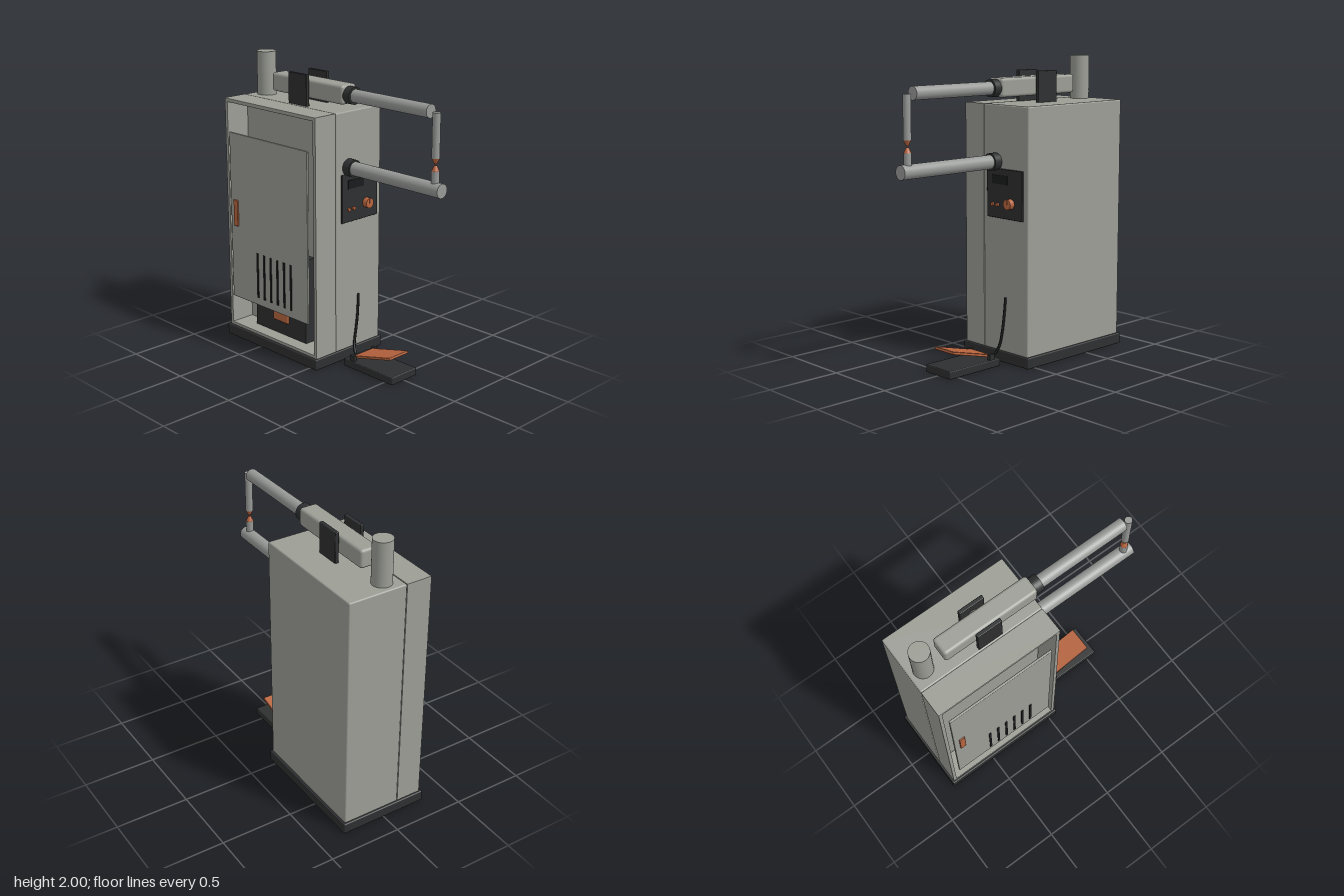
import * as THREE from 'three';
import { RoundedBoxGeometry } from 'three/addons/geometries/RoundedBoxGeometry.js';

const mat = (name, color) => {
  const m = new THREE.MeshStandardMaterial({ color });
  m.name = name;
  return m;
};

export function createModel() {
  const grey = mat('painted grey', 0x9c9e96);
  const steel = mat('steel', 0x989a98);
  const dark = mat('dark grey', 0x2e2f30);
  const black = mat('black', 0x1a1b1c);
  const copper = mat('copper', 0xb8653f);

  const model = new THREE.Group();
  model.name = 'spotWelder';

  const add = (name, geometry, material, x = 0, y = 0, z = 0, parent = model) => {
    const mesh = new THREE.Mesh(geometry, material);
    mesh.name = name;
    mesh.position.set(x, y, z);
    parent.add(mesh);
    return mesh;
  };
  // Box given by its limits on each axis; r rounds the edges
  const box = (name, material, [x0, x1], [y0, y1], [z0, z1], r = 0, parent = model) => {
    const size = [x1 - x0, y1 - y0, z1 - z0];
    const g = r ? new RoundedBoxGeometry(...size, 3, r) : new THREE.BoxGeometry(...size);
    return add(name, g, material, (x0 + x1) / 2, (y0 + y1) / 2, (z0 + z1) / 2, parent);
  };
  // Upright rod, optionally tapered
  const rodY = (name, material, rBottom, rTop, y0, y1, x, z) =>
    add(name, new THREE.CylinderGeometry(rTop, rBottom, y1 - y0, 32), material, x, (y0 + y1) / 2, z);
  // Rod running front to back
  const rodZ = (name, material, r, z0, z1, x, y) => {
    const g = new THREE.CylinderGeometry(r, r, z1 - z0, 32).rotateX(Math.PI / 2);
    return add(name, g, material, x, y, (z0 + z1) / 2);
  };

  // Cabinet: plinth, closed main body and an open side compartment
  box('plinth', dark, [-0.31, 0.31], [0, 0.075], [-0.85, 0.065], 0.008);
  box('mainBody', grey, [-0.115, 0.295], [0.07, 1.705], [-0.835, 0.055], 0.01);

  const rect = (path, x0, y0, x1, y1) =>
    path.moveTo(x0, y0).lineTo(x1, y0).lineTo(x1, y1).lineTo(x0, y1).closePath();
  const frame = rect(new THREE.Shape(), -0.83, 0.072, 0.05, 1.7);
  frame.holes.push(rect(new THREE.Path(), -0.812, 0.092, 0.032, 1.682));
  const shell = new THREE.ExtrudeGeometry(frame, {
    depth: 0.17, bevelEnabled: true, bevelSize: 0.004, bevelThickness: 0.004, bevelSegments: 2,
  }).rotateY(-Math.PI / 2);
  add('sideCompartment', shell, grey, -0.12, 0, 0);

  // Transformer inside the compartment
  box('transformerCore', dark, [-0.2, -0.115], [0.092, 0.69], [-0.66, -0.15]);
  box('transformerWinding', copper, [-0.215, -0.19], [0.19, 0.59], [-0.47, -0.32], 0.008);

  // Access door with handle and vent slots
  box('door', grey, [-0.308, -0.292], [0.305, 1.48], [-0.78, -0.01], 0.005);
  box('doorHandle', copper, [-0.318, -0.305], [0.83, 1.015], [-0.742, -0.7], 0.004);
  for (let i = 0; i < 6; i++) {
    const z = -0.51 + i * 0.067;
    box('ventSlot', black, [-0.313, -0.306], [0.36, 0.68], [z - 0.008, z + 0.008]);
  }

  // Control panel
  box('controlPanel', dark, [-0.072, 0.255], [0.967, 1.292], [0.05, 0.068], 0.004);
  box('display', black, [-0.02, 0.122], [1.192, 1.25], [0.066, 0.073]);
  rodZ('dialKnob', copper, 0.034, 0.066, 0.104, 0.15, 1.071);
  box('dialMark', copper, [0.146, 0.154], [1.071, 1.105], [0.1, 0.108]);
  for (const x of [-0.014, 0.03]) rodZ('pushButton', copper, 0.012, 0.066, 0.08, x, 1.055);

  // Air cylinder on the top
  rodY('airCylinder', grey, 0.065, 0.065, 1.7, 2, 0, -0.738);

  // Upper arm in its housing, held by a pair of pivot plates
  box('armHousing', grey, [-0.064, 0.064], [1.75, 1.875], [-0.615, 0.06], 0.02);
  for (const s of [-1, 1]) {
    const x = s * 0.09;
    box('pivotPlate', dark, [x - 0.0135, x + 0.0135], [1.7, 1.912], [-0.405, -0.23], 0.005);
  }
  const pin = new THREE.CylinderGeometry(0.03, 0.03, 0.17, 24).rotateZ(Math.PI / 2);
  add('pivotPin', pin, steel, 0, 1.81, -0.318);
  rodZ('upperCollar', dark, 0.057, 0.05, 0.112, 0, 1.81);
  rodZ('upperArm', steel, 0.043, 0.05, 0.75, 0, 1.81);

  // Lower arm
  rodZ('lowerCollar', dark, 0.057, 0.05, 0.112, 0, 1.335);
  rodZ('lowerArm', steel, 0.046, 0.04, 0.852, 0, 1.335);

  // Electrodes with copper tips
  rodY('upperElectrode', steel, 0.025, 0.025, 1.53, 1.81, 0, 0.795);
  rodY('upperTip', copper, 0.009, 0.024, 1.496, 1.53, 0, 0.795);
  rodY('lowerElectrode', steel, 0.025, 0.025, 1.36, 1.452, 0, 0.795);
  rodY('lowerTip', copper, 0.024, 0.009, 1.452, 1.486, 0, 0.795);

  // Foot pedal
  const pedal = new THREE.Group();
  pedal.name = 'footPedal';
  model.add(pedal);
  box('pedalBase', dark, [-0.115, 0.119], [0, 0.052], [0.128, 0.57], 0.006, pedal);
  for (const x of [-0.1, 0.104])
    box('hingeLug', dark, [x - 0.01, x + 0.01], [0.045, 0.09], [0.18, 0.22], 0, pedal);
  const hinge = new THREE.CylinderGeometry(0.01, 0.01, 0.19, 16).rotateZ(Math.PI / 2);
  add('hingeRod', hinge, steel, 0.002, 0.072, 0.197, pedal);
  const plate = add('pedalPlate', new RoundedBoxGeometry(0.176, 0.018, 0.335, 2, 0.004),
    copper, 0.002, 0.115, 0.355, pedal);
  plate.rotation.x = -Math.atan2(0.083, 0.32);

  // Cable from the pedal up to the cabinet
  const path = new THREE.CatmullRomCurve3([
    [0.0, 0.028, 0.135], [0.02, 0.045, 0.1], [0.042, 0.1, 0.07],
    [0.065, 0.2, 0.063], [0.08, 0.3, 0.061], [0.092, 0.445, 0.056],
  ].map((p) => new THREE.Vector3(...p)));
  add('pedalCable', new THREE.TubeGeometry(path, 40, 0.009, 10), black);

  return model;
}
